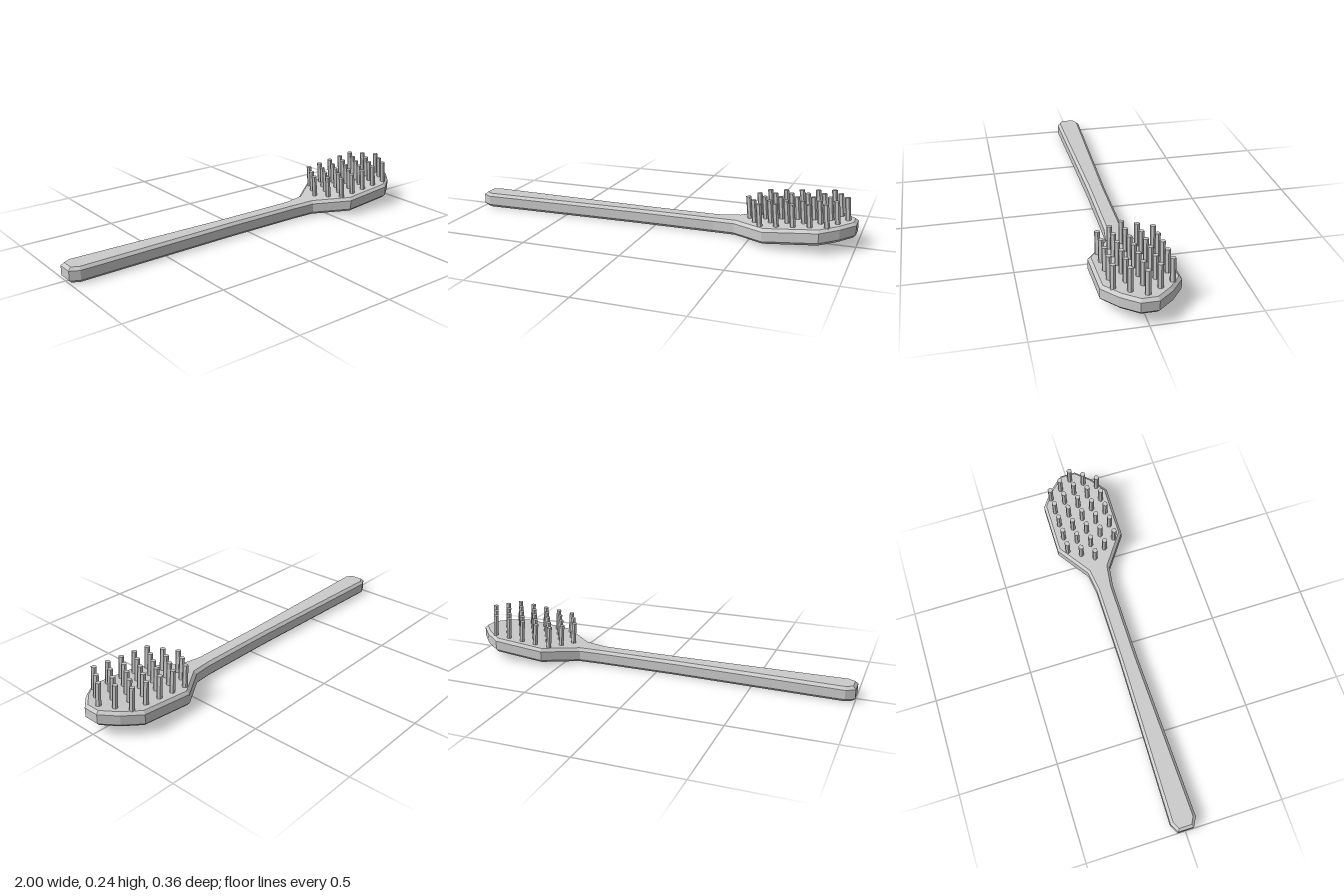
import * as THREE from 'three';

const material = new THREE.MeshStandardMaterial({ color: 0xcccccc, flatShading: true });
const THICK = 0.075, BEVEL = 0.014, SLOPE = 0.093;

// Half outline seen from above: [x, half width]
const STATIONS = [
  [-1, 0.04], [-0.955, 0.064], [-0.1, 0.045], [0.31, 0.045], [0.42, 0.06],
  [0.585, 0.178], [0.85, 0.178], [0.935, 0.115], [1, 0.04],
];

// Height added where the head tilts up from the handle
function rise(x) {
  if (x < 0.31) return 0;
  if (x < 0.42) return 0.005 * (x - 0.31) / 0.11;
  return 0.005 + SLOPE * (x - 0.42);
}

// Moves a closed outline inwards by an even amount
function insetOutline(points, amount) {
  const n = points.length;
  const normal = (a, b) => new THREE.Vector2(a.y - b.y, b.x - a.x).normalize();
  return points.map((p, i) => {
    const n1 = normal(points[(i + n - 1) % n], p);
    const n2 = normal(p, points[(i + 1) % n]);
    const miter = n1.clone().add(n2).multiplyScalar(amount / (1 + n1.dot(n2)));
    return p.clone().sub(miter);
  });
}

// Handle and head: bevelled slab built from four stacked outlines
function bodyGeometry() {
  const outer = [
    ...STATIONS.map(([x, w]) => new THREE.Vector2(x, w)),
    ...[...STATIONS].reverse().map(([x, w]) => new THREE.Vector2(x, -w)),
  ];
  const inner = insetOutline(outer, BEVEL);
  const layers = [[inner, 0], [outer, BEVEL], [outer, THICK - BEVEL], [inner, THICK]];
  const rings = layers.map(([ring, y]) => ring.map((p) => [p.x, y + rise(p.x), p.y]));
  const n = outer.length, positions = [];
  const quad = (a, b, c, d) => positions.push(...a, ...b, ...c, ...a, ...c, ...d);

  // sides and bevels
  for (let l = 0; l < 3; l++) {
    for (let k = 0; k < n; k++) {
      const j = (k + 1) % n;
      quad(rings[l][k], rings[l][j], rings[l + 1][j], rings[l + 1][k]);
    }
  }
  // top and bottom strips
  const top = rings[3], bottom = rings[0];
  for (let i = 0; i < STATIONS.length - 1; i++) {
    quad(top[i], top[i + 1], top[n - 2 - i], top[n - 1 - i]);
    quad(bottom[n - 1 - i], bottom[n - 2 - i], bottom[i + 1], bottom[i]);
  }
  const geometry = new THREE.BufferGeometry();
  geometry.setAttribute('position', new THREE.Float32BufferAttribute(positions, 3));
  geometry.computeVertexNormals();
  return geometry;
}

export function createModel() {
  const model = new THREE.Group();
  model.name = 'brush';

  const body = new THREE.Mesh(bodyGeometry(), material);
  body.name = 'handleAndHead';
  model.add(body);

  // Staggered rows of hexagonal bristles, square to the tilted head
  const bristles = new THREE.Group();
  bristles.name = 'bristles';
  const sink = 0.01, length = 0.11 + sink, spacing = 0.0785;
  const geometry = new THREE.CylinderGeometry(0.0135, 0.0135, length, 6, 1, false, Math.PI / 6);
  geometry.translate(0, length / 2 - sink, 0);
  for (let row = -2; row <= 2; row++) {
    const count = 7 - Math.abs(row);
    for (let i = 0; i < count; i++) {
      const x = 0.721 + (i - (count - 1) / 2) * spacing;
      const bristle = new THREE.Mesh(geometry, material);
      bristle.name = 'bristle';
      bristle.position.set(x, THICK + rise(x), row * 0.064);
      bristle.rotation.z = Math.atan(SLOPE);
      bristles.add(bristle);
    }
  }
  model.add(bristles);
  return model;
}
